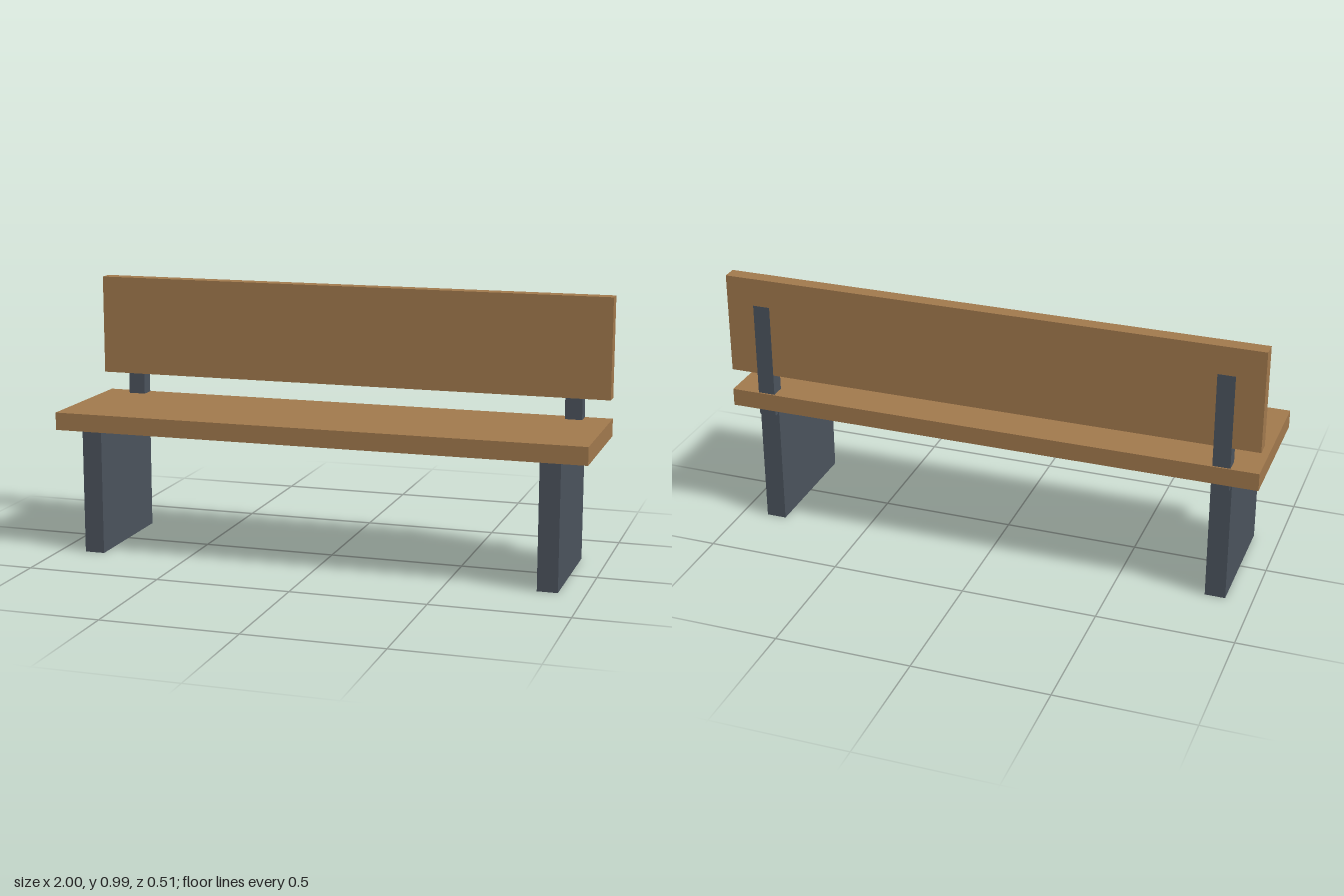
import * as THREE from 'three';

export function createModel() {
  const bench = new THREE.Group();
  bench.name = 'bench';

  const wood = new THREE.MeshStandardMaterial({ color: 0xa0784c });
  wood.name = 'wood';
  const steel = new THREE.MeshStandardMaterial({ color: 0x4a525c });
  steel.name = 'dark steel';

  // Box given by its [min, max] extent along each axis
  function addBox(name, material, [x0, x1], [y0, y1], [z0, z1]) {
    const mesh = new THREE.Mesh(new THREE.BoxGeometry(x1 - x0, y1 - y0, z1 - z0), material);
    mesh.position.set((x0 + x1) / 2, (y0 + y1) / 2, (z0 + z1) / 2);
    mesh.name = name;
    bench.add(mesh);
  }

  // Planks
  addBox('seat', wood, [-1, 1], [0.468, 0.534], [-0.256, 0.256]);
  addBox('backrest', wood, [-1, 1], [0.613, 0.99], [-0.25, -0.195]);

  // Slab legs and the posts that carry the backrest, mirrored left and right
  for (const [side, sign] of [['left', 1], ['right', -1]]) {
    const x = sign * 0.865;
    addBox(side + 'Leg', steel, [x - 0.0375, x + 0.0375], [0, 0.468], [-0.233, 0.233]);
    // The post sits flush in the backrest, its rear face just proud
    addBox(side + 'BackPost', steel, [x - 0.032, x + 0.032], [0.446, 0.885], [-0.2505, -0.1955]);
  }

  return bench;
}
